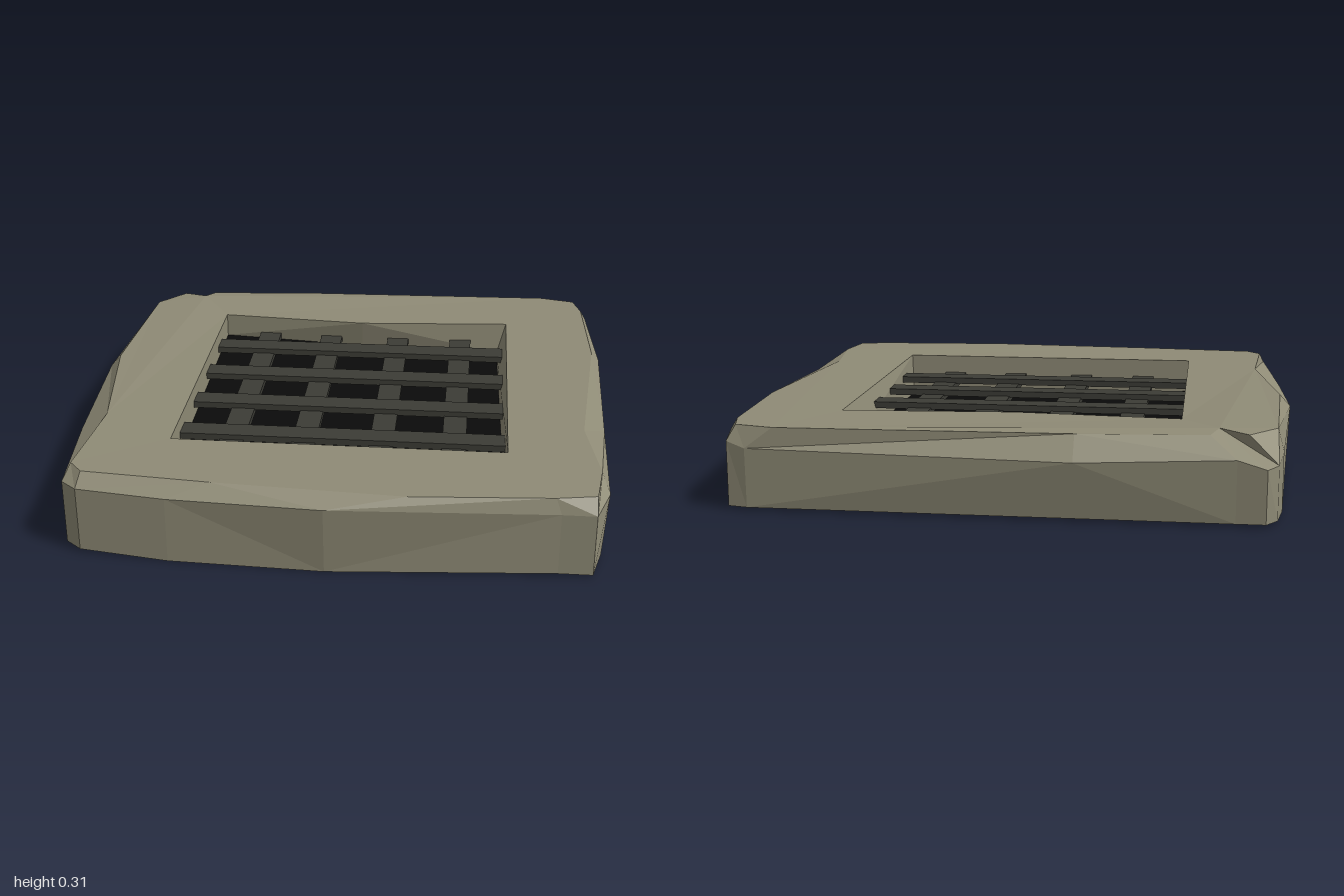
import * as THREE from 'three';

// Widest line of the slab, counter-clockwise from the front left corner, as [x, y, z]
const SHOULDER = [
  [-0.93, 0.25, 0.86], [-0.87, 0.25, 0.91], [-0.55, 0.245, 0.945], [0, 0.255, 0.99],
  [0.8, 0.24, 0.92], [0.92, 0.24, 0.92], [0.97, 0.25, 0.78], [0.98, 0.265, 0.32],
  [1, 0.265, -0.35], [0.97, 0.26, -0.83], [0.95, 0.24, -0.95], [0.88, 0.22, -0.97],
  [-0.25, 0.21, -1], [-0.79, 0.23, -0.98], [-0.89, 0.2, -0.98], [-0.93, 0.2, -0.91],
  [-0.95, 0.22, -0.79], [-1, 0.25, -0.15], [-0.98, 0.23, 0.4],
];

// Edge of the top face, one point above each shoulder point, as [x, z]
const TOP = [
  [-0.91, 0.8], [-0.86, 0.86], [-0.4, 0.9], [0.28, 0.94],
  [0.78, 0.905], [0.92, 0.88], [0.945, 0.7], [0.9, 0.38],
  [0.97, -0.35], [0.95, -0.82], [0.92, -0.93], [0.78, -0.965],
  [-0.25, -0.935], [-0.7, -0.9], [-0.73, -0.83], [-0.83, -0.88],
  [-0.93, -0.76], [-0.96, -0.15], [-0.88, 0.4],
];
const CHIP = 14; // raised chip at the back right corner

// Opening rim and the lower edge of its walls, as [x, z]
const RIM = [[-0.6, 0.58], [0.62, 0.58], [0.62, -0.64], [0, -0.595], [-0.6, -0.64]];
const LOW = [[-0.6, 0.58], [0.615, 0.58], [0.585, -0.63], [0, -0.62], [-0.6, -0.64]];

const floorY = (x, z) => 0.16 - 0.03 * (x + z);

function facets(triangles) {
  const geometry = new THREE.BufferGeometry();
  geometry.setAttribute('position', new THREE.Float32BufferAttribute(triangles.flat(2), 3));
  geometry.computeVertexNormals();
  return geometry;
}

// Band of triangles between two closed rings, with alternating diagonals
function band(lower, upper) {
  return lower.flatMap((a, i) => {
    const j = (i + 1) % lower.length;
    const [b, c, d] = [lower[j], upper[j], upper[i]];
    return i % 2 ? [[a, b, c], [a, c, d]] : [[a, b, d], [b, c, d]];
  });
}

// Cap over an outline with an optional opening, facing up
function cap(outline, hole = []) {
  const flat = ring => ring.map(p => new THREE.Vector2(p[0], -p[2]));
  const points = [...outline, ...hole];
  const faces = THREE.ShapeUtils.triangulateShape(flat(outline), hole.length ? [flat(hole)] : []);
  return faces.map(([a, b, c]) => {
    const [p, q, r] = [points[a], points[b], points[c]];
    const up = (q[2] - p[2]) * (r[0] - p[0]) - (q[0] - p[0]) * (r[2] - p[2]);
    return up > 0 ? [p, q, r] : [p, r, q];
  });
}

export function createModel() {
  const group = new THREE.Group();
  const material = (name, color) => {
    const m = new THREE.MeshStandardMaterial({ color, flatShading: true, side: THREE.DoubleSide });
    m.name = name;
    return m;
  };
  const stone = material('stone', 0x8f8b76);
  const iron = material('darkIron', 0x3c3c36);
  const black = material('blackPit', 0x0a0a0a);
  const add = (name, geometry, mat, parent = group) => {
    const mesh = new THREE.Mesh(geometry, mat);
    mesh.name = name;
    parent.add(mesh);
    return mesh;
  };

  // Hollow stone surround: sides drawn in at the foot, chamfer, top and opening walls
  const { clamp } = THREE.MathUtils;
  const bottom = SHOULDER.map(([x, , z], i) => [
    clamp(x, -0.99, 0.955), i === 2 || i === 3 ? 0 : 0.01, clamp(z, -0.965, 0.965),
  ]);
  const top = TOP.map(([x, z], i) => [x, i === CHIP ? 0.305 : 0.295, z]);
  const rim = RIM.map(([x, z]) => [x, 0.293, z]);
  const low = LOW.map(([x, z]) => [x, floorY(x, z), z]);
  add('stoneSides', facets(band(bottom, SHOULDER)), stone);
  add('stoneChamfer', facets(band(SHOULDER, top)), stone);
  add('stoneTop', facets(cap(top, rim)), stone);
  add('openingWalls', facets(band(rim, low)), stone);

  // Black floor closing the opening
  const corners = [[-0.6, 0.58], [0.62, 0.58], [0.6, -0.64], [-0.6, -0.64]];
  add('pitFloor', facets(cap(corners.map(([x, z]) => [x, floorY(x, z), z]))), black);

  // Iron grate: cross bars resting on lengthwise bars, ends set through the walls
  const grate = new THREE.Group();
  grate.name = 'grate';
  group.add(grate);
  for (const z of [-0.445, -0.17, 0.105, 0.38]) {
    add('crossBar', new THREE.BoxGeometry(1.225, 0.025, 0.092), iron, grate).position.set(0.01, 0.2275, z);
  }
  for (const x of [-0.405, -0.135, 0.155, 0.425]) {
    add('lengthwiseBar', new THREE.BoxGeometry(0.09, 0.025, 1.225), iron, grate).position.set(x, 0.2075, -0.03);
  }
  return group;
}
